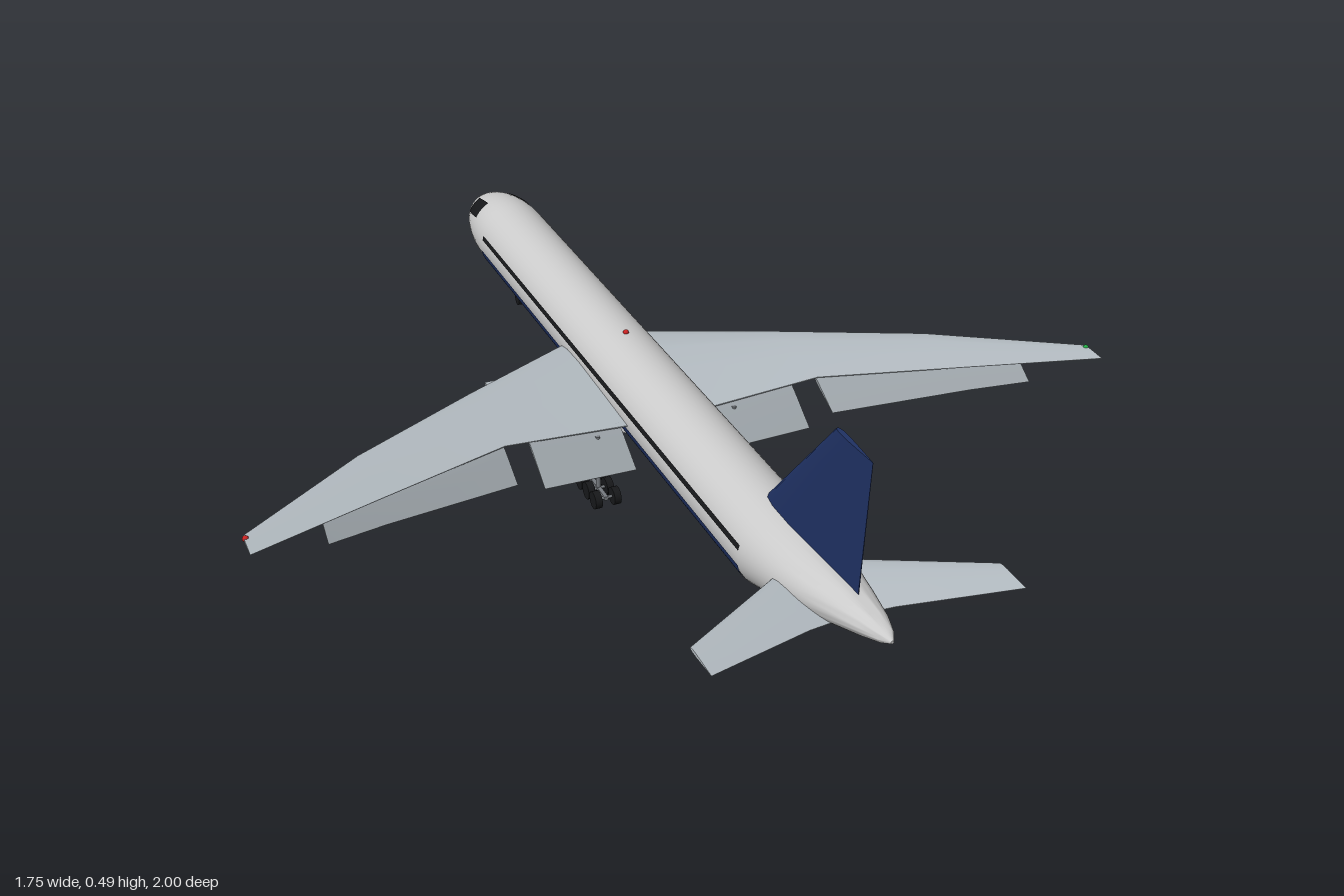
import * as THREE from 'three';
import { toCreasedNormals } from 'three/addons/utils/BufferGeometryUtils.js';

const V = (x, y, z) => new THREE.Vector3(x, y, z);
const mat = (color) => new THREE.MeshStandardMaterial({ color, side: THREE.DoubleSide });
const WHITE = mat(0xe6e6e6), GREY = mat(0xb4bcc2), FLAP = mat(0x9aa1a6), NAVY = mat(0x1f3163),
  BLACK = mat(0x17181a), METAL = mat(0x777b80), RED = mat(0xcc2222), GREEN = mat(0x22aa44);

function add(group, name, geometry, material, x = 0, y = 0, z = 0) {
  const mesh = new THREE.Mesh(geometry, material);
  mesh.name = name;
  mesh.position.set(x, y, z);
  group.add(mesh);
  return mesh;
}

// Closed solid through rings of equal point count, always facing outward
function loft(rings, crease = 0.6) {
  const n = rings[0].length, pts = rings.flat(), idx = [];
  for (let r = 0; r < rings.length - 1; r++)
    for (let i = 0; i < n; i++) {
      const a = r * n + i, b = r * n + (i + 1) % n;
      idx.push(a, b, a + n, b, b + n, a + n);
    }
  const last = (rings.length - 1) * n;
  for (let i = 1; i < n - 1; i++) idx.push(0, i + 1, i, last, last + i, last + i + 1);
  let volume = 0;
  for (let i = 0; i < idx.length; i += 3)
    volume += pts[idx[i]].dot(V().crossVectors(pts[idx[i + 1]], pts[idx[i + 2]]));
  if (volume < 0) idx.reverse();
  const g = new THREE.BufferGeometry().setFromPoints(pts);
  g.setIndex(idx);
  return toCreasedNormals(g, crease);
}

// Rear body: z, top, bottom, half width
const TAIL = [
  [0.62, 0.234, 0.068, 0.083], [0.72, 0.234, 0.102, 0.074], [0.8, 0.234, 0.131, 0.061],
  [0.87, 0.233, 0.157, 0.046], [0.94, 0.231, 0.183, 0.029], [0.98, 0.226, 0.199, 0.015],
  [1, 0.217, 0.211, 0.003],
];

// Fuselage cross-section at z
function section(z) {
  if (z < -0.77) {
    const u = Math.min(1, (-0.77 - z) / 0.23), k = Math.max(0.01, Math.sqrt(1 - u * u));
    return { cy: 0.151 - 0.012 * u * u, rx: 0.083 * k, ry: 0.083 * k };
  }
  let row = TAIL[0];
  for (let i = 0; i < TAIL.length - 1; i++)
    if (z > TAIL[i][0]) {
      const t = Math.min(1, (z - TAIL[i][0]) / (TAIL[i + 1][0] - TAIL[i][0]));
      row = TAIL[i].map((v, k) => v + (TAIL[i + 1][k] - v) * t);
    }
  return { cy: (row[1] + row[2]) / 2, rx: row[3], ry: (row[1] - row[2]) / 2 };
}

function skin(z, angle, lift = 0) {
  const s = section(z);
  return V((s.rx + lift) * Math.cos(angle), s.cy + (s.ry + lift) * Math.sin(angle), z);
}

function fuselageGeometry() {
  const zs = [];
  for (let i = 12; i >= 0; i--) zs.push(-0.77 - 0.23 * Math.sin(i / 12 * Math.PI / 2));
  zs.push(...TAIL.map((r) => r[0]));
  return loft(zs.map((z) => Array.from({ length: 40 }, (_, i) => skin(z, i / 40 * Math.PI * 2))));
}

// Painted area on the fuselage; angle ranges at both ends, mirrored by side
function patch(z0, z1, range0, range1, side, nz = 6) {
  const na = 6, pts = [], idx = [];
  for (let i = 0; i <= nz; i++)
    for (let j = 0; j <= na; j++) {
      const t = i / nz, k = j / na;
      const lo = range0[0] + (range1[0] - range0[0]) * t, hi = range0[1] + (range1[1] - range0[1]) * t;
      const p = skin(z0 + (z1 - z0) * t, lo + (hi - lo) * k, 0.0015);
      p.x *= side;
      pts.push(p);
      if (i < nz && j < na) {
        const a = i * (na + 1) + j, b = a + na + 1;
        if (side > 0) idx.push(a, a + 1, b, a + 1, b + 1, b);
        else idx.push(a, b, a + 1, a + 1, b, b + 1);
      }
    }
  const g = new THREE.BufferGeometry().setFromPoints(pts);
  g.setIndex(idx);
  g.computeVertexNormals();
  return g;
}

// Aerofoil surface; stations are [span, zLead, zTrail, yLead, yTrail, thickness]
const FOIL = [[0, 0], [0.03, 0.3], [0.12, 0.48], [0.3, 0.5], [0.6, 0.32], [1, 0.03]];
function aerofoil(stations, place) {
  const outline = [...FOIL, ...FOIL.slice(1).reverse().map(([c, h]) => [c, -h])];
  return loft(stations.map(([s, z0, z1, y0, y1, t]) =>
    outline.map(([c, h]) => place(s, y0 + (y1 - y0) * c + h * t, z0 + (z1 - z0) * c))));
}

function wheelGeometry(r, w) {
  return new THREE.CylinderGeometry(r, r, w, 20).rotateZ(Math.PI / 2);
}

export function createModel() {
  const model = new THREE.Group();
  model.name = 'airliner';

  // Fuselage and fin
  add(model, 'fuselage', fuselageGeometry(), WHITE);
  add(model, 'fin', aerofoil([
    [0.215, 0.55, 0.89, 0, 0, 0.025], [0.235, 0.57, 0.89, 0, 0, 0.025], [0.492, 0.79, 0.905, 0, 0, 0.01],
  ], (s, y, z) => V(y, s, z)), NAVY);
  add(model, 'beacon', new THREE.SphereGeometry(0.006, 12, 8), RED, 0, 0.235, -0.08);

  for (const side of [1, -1]) {
    const half = new THREE.Group();
    half.name = side > 0 ? 'leftSide' : 'rightSide';
    model.add(half);
    const place = (s, y, z) => V(side * s, y, z);

    // Paint and glazing
    add(half, 'windowStrip', patch(-0.755, 0.62, [0.18, 0.31], [0.18, 0.31], side), BLACK);
    add(half, 'sideStripe', patch(-0.768, 0.62, [-0.6, -0.19], [-0.6, -0.19], side), NAVY);
    add(half, 'cockpitWindow', patch(-0.913, -0.835, [0.38, 1.0], [0.5, 1.06], side), BLACK);
    add(half, 'tailPatch', patch(0.72, 0.82, [-1.3, -0.87], [-1.3, -0.87], side), NAVY);

    // Wing, flaps and tailplane
    add(half, 'wing', aerofoil([
      [0.03, -0.28, 0.12, 0.128, 0.139, 0.042], [0.083, -0.249, 0.122, 0.13, 0.142, 0.04],
      [0.338, -0.095, 0.126, 0.154, 0.16, 0.026], [0.614, 0.077, 0.238, 0.177, 0.18, 0.016],
      [0.873, 0.283, 0.347, 0.198, 0.2, 0.007],
    ], place), GREY);
    add(half, 'innerFlap', aerofoil([
      [0.095, 0.105, 0.198, 0.144, 0.088, 0.009], [0.285, 0.105, 0.198, 0.152, 0.092, 0.009],
    ], place), FLAP);
    add(half, 'outerFlap', aerofoil([
      [0.338, 0.11, 0.195, 0.156, 0.113, 0.008], [0.614, 0.215, 0.268, 0.176, 0.143, 0.006],
      [0.73, 0.262, 0.306, 0.184, 0.156, 0.005],
    ], place), FLAP);
    add(half, 'tailplane', aerofoil([
      [0.02, 0.69, 0.865, 0.166, 0.168, 0.018], [0.08, 0.73, 0.878, 0.173, 0.175, 0.016],
      [0.288, 0.865, 0.945, 0.196, 0.198, 0.007],
    ], place), GREY);
    add(half, 'tipLight', new THREE.SphereGeometry(0.006, 10, 8), side > 0 ? GREEN : RED, side * 0.87, 0.2, 0.295);

    // Pylon
    add(half, 'pylon', new THREE.BoxGeometry(0.022, 0.06, 0.14), GREY, side * 0.264, 0.095, -0.112);

    // Main landing gear with three axles
    const gear = new THREE.Group();
    gear.name = 'mainGear';
    gear.position.set(side * 0.148, 0.018, 0.128);
    half.add(gear);
    add(gear, 'strut', new THREE.CylinderGeometry(0.005, 0.005, 0.12, 12), METAL, 0, 0.06, 0);
    add(gear, 'bogieBeam', new THREE.BoxGeometry(0.008, 0.008, 0.085), METAL);
    for (const z of [-0.038, 0, 0.038]) {
      add(gear, 'axle', wheelGeometry(0.003, 0.044), METAL, 0, 0, z);
      for (const x of [-0.02, 0.02]) add(gear, 'wheel', wheelGeometry(0.018, 0.014), BLACK, x, 0, z);
    }
  }

  // Nose landing gear
  const nose = new THREE.Group();
  nose.name = 'noseGear';
  nose.position.set(0, 0.015, -0.715);
  model.add(nose);
  add(nose, 'strut', new THREE.CylinderGeometry(0.004, 0.004, 0.07, 12), METAL, 0, 0.035, 0);
  add(nose, 'axle', wheelGeometry(0.003, 0.026), METAL);
  for (const x of [-0.012, 0.012]) add(nose, 'wheel', wheelGeometry(0.014, 0.009), BLACK, x, 0, 0);

  // Engine on the centre line: nacelle, fan, spinner and exhaust cone
  const engine = new THREE.Group();
  engine.name = 'engine';
  engine.position.set(0, 0.066, 0);
  model.add(engine);
  const turn = (points) => new THREE.LatheGeometry(
    points.map(([r, z]) => new THREE.Vector2(r, z)), 32).rotateX(Math.PI / 2);
  add(engine, 'nacelle', turn([[0.044, -0.19], [0.045, -0.235], [0.049, -0.243], [0.053, -0.235],
    [0.056, -0.2], [0.056, -0.1], [0.053, -0.045], [0.049, -0.045], [0.047, -0.1]]), WHITE);
  add(engine, 'fan', turn([[0, -0.195], [0.046, -0.195]]), BLACK);
  add(engine, 'spinner', turn([[0, -0.228], [0.008, -0.217], [0.014, -0.195]]), METAL);
  add(engine, 'exhaustCone', turn([[0.046, -0.08], [0.04, -0.045], [0.025, 0], [0.012, 0.036], [0, 0.036]]), BLACK);

  return model;
}
